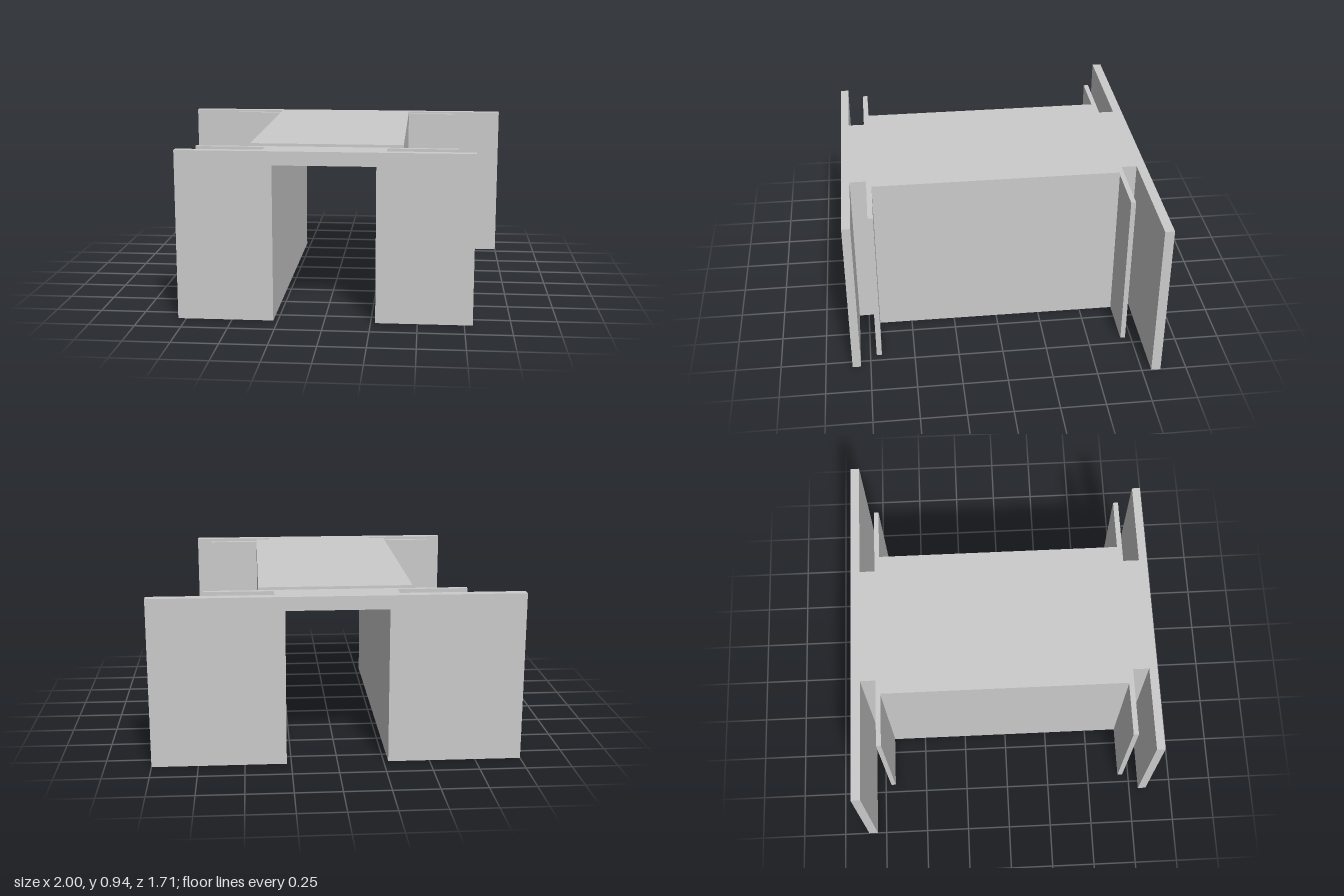
import * as THREE from 'three';

const OPENING = 0.275; // half width of the passage
const CEILING = 0.85;  // height of the passage

// One slice of the passage: an upside-down U outline extruded from z0 to z1
function archSlice(name, halfWidth, height, z0, z1, material) {
  const shape = new THREE.Shape([
    [-halfWidth, 0], [-OPENING, 0], [-OPENING, CEILING], [OPENING, CEILING],
    [OPENING, 0], [halfWidth, 0], [halfWidth, height], [-halfWidth, height],
  ].map(([x, y]) => new THREE.Vector2(x, y)));
  const geometry = new THREE.ExtrudeGeometry(shape, { depth: z1 - z0, bevelEnabled: false });
  geometry.translate(0, 0, z0);
  const mesh = new THREE.Mesh(geometry, material);
  mesh.name = name;
  return mesh;
}

export function createModel() {
  const group = new THREE.Group();
  group.name = 'passageFrame';
  const material = new THREE.MeshStandardMaterial({ color: 0xcccccc, flatShading: true });

  // name, half width, height, back z, front z
  const slices = [
    ['backPlate', 1.0, 0.925, -0.855, -0.803],
    ['backNeck', 0.33, 0.925, -0.803, -0.717],
    ['backFin', 0.705, 0.925, -0.717, -0.69],
    ['tunnelBody', 0.413, 0.94, -0.69, 0.686],
    ['frontFin', 0.705, 0.925, 0.686, 0.715],
    ['frontNeck', 0.33, 0.925, 0.715, 0.805],
    ['frontPlate', 0.795, 0.925, 0.805, 0.852],
  ];
  for (const slice of slices) group.add(archSlice(...slice, material));

  return group;
}
